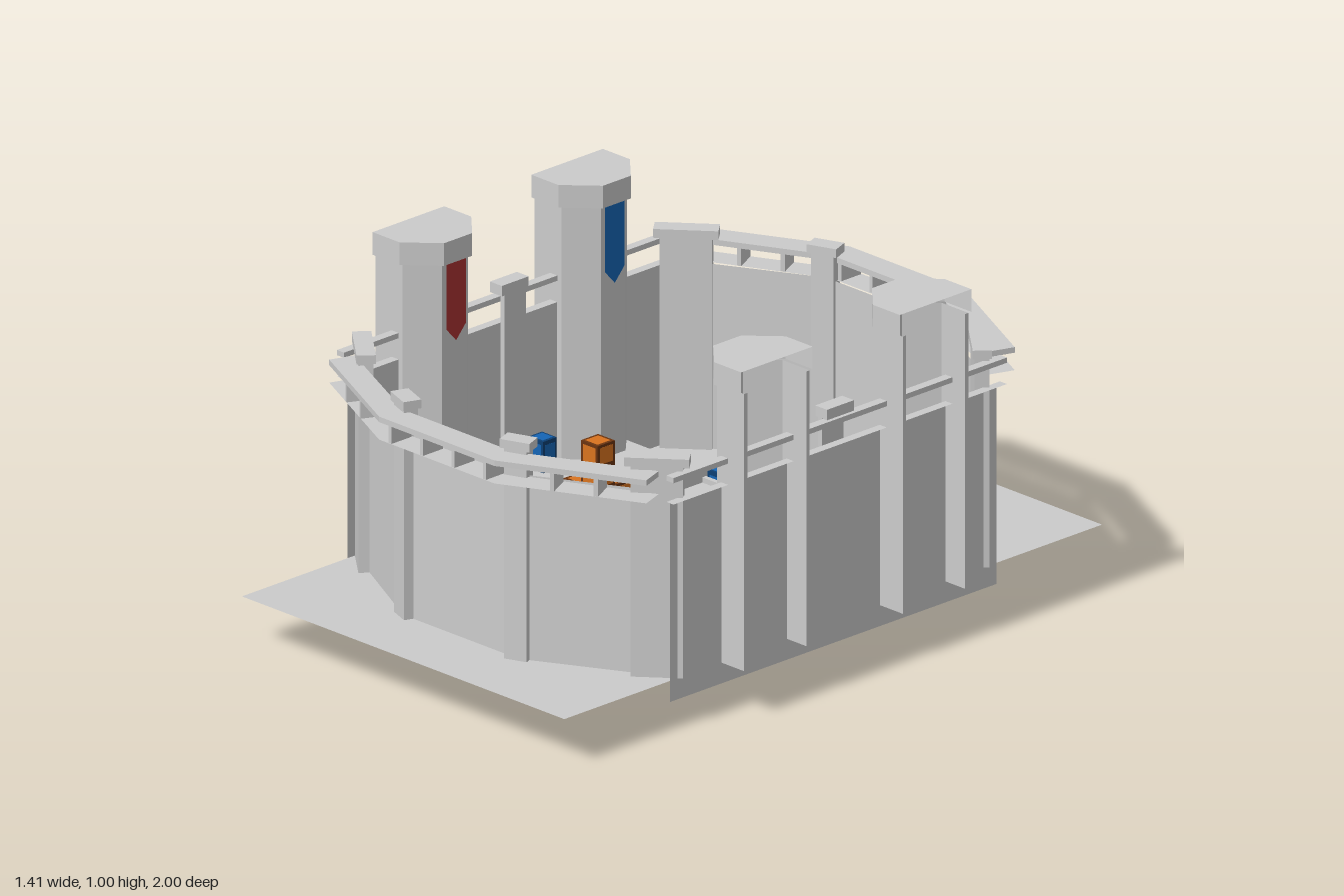
import * as THREE from 'three';

const paint = (color) => new THREE.MeshStandardMaterial({ color, flatShading: true, side: THREE.DoubleSide });
const grey = paint(0xcccccc);
const orange = paint(0xd9731f), brown = paint(0x6b3410);
const blue = paint(0x1565b5), navy = paint(0x0d3f73);
const red = paint(0xa83232), maroon = paint(0x651c1c);

const FLOOR = 0.14, DECK = 0.21;

const toShape = (points) => new THREE.Shape(points.map(([a, b]) => new THREE.Vector2(a, b)));

export function createModel() {
  const model = new THREE.Group();

  function add(parent, name, geometry, material = grey) {
    const mesh = new THREE.Mesh(geometry, material);
    mesh.name = name;
    parent.add(mesh);
    return mesh;
  }

  // Box given by its limits on each axis
  function block(parent, name, x0, x1, y0, y1, z0, z1) {
    const g = new THREE.BoxGeometry(Math.abs(x1 - x0), y1 - y0, Math.abs(z1 - z0));
    g.translate((x0 + x1) / 2, (y0 + y1) / 2, (z0 + z1) / 2);
    return add(parent, name, g);
  }

  // Flat sheet with a plan outline [x, z] at one height
  function sheet(parent, name, plan, y) {
    const g = new THREE.ShapeGeometry(toShape(plan.map(([x, z]) => [x, -z])));
    g.rotateX(-Math.PI / 2).translate(0, y, 0);
    return add(parent, name, g);
  }

  // Upright open shell along a plan line
  function shell(parent, name, plan, y0, y1) {
    const positions = [], index = [];
    plan.forEach(([x, z], i) => {
      positions.push(x, y0, z, x, y1, z);
      const a = 2 * i;
      if (i < plan.length - 1) index.push(a, a + 1, a + 2, a + 1, a + 3, a + 2);
    });
    const g = new THREE.BufferGeometry();
    g.setAttribute('position', new THREE.Float32BufferAttribute(positions, 3));
    g.setIndex(index);
    g.computeVertexNormals();
    return add(parent, name, g);
  }

  // Box with a dark frame and lighter panels on every side
  function crate(name, x, y, z, w, h, d, panel, frame) {
    const group = new THREE.Group();
    group.name = name;
    group.position.set(x, y + h / 2 + 0.002, z);
    add(group, 'crateFrame', new THREE.BoxGeometry(w, h, d), frame);
    const k = 0.74, e = 1.02;
    for (const [a, b, c] of [[e, k, k], [k, e, k], [k, k, e]])
      add(group, 'cratePanel', new THREE.BoxGeometry(w * a, h * b, d * c), panel);
    model.add(group);
  }

  // Ground
  sheet(model, 'ground', [[-0.615, 1], [0.615, 1], [0.615, -1], [-0.615, -1]], FLOOR);

  // Curved curtain walls at both ends, with a two-tier parapet
  const wallPlan = [[-0.615, 0.56], [-0.57, 0.6], [-0.22, 0.785], [0.22, 0.785], [0.57, 0.6], [0.615, 0.56]];
  const rimPlan = [
    [-0.605, 0.685], [-0.22, 0.875], [0.22, 0.875], [0.605, 0.685],
    [0.58, 0.615], [0.21, 0.795], [-0.21, 0.795], [-0.58, 0.615],
  ];
  for (const s of [1, -1]) {
    const end = new THREE.Group();
    end.name = s > 0 ? 'frontWall' : 'backWall';
    if (s < 0) end.rotation.y = Math.PI;
    model.add(end);

    shell(end, 'wallPanels', wallPlan, FLOOR, 0.67);
    sheet(end, 'lowerLedge', rimPlan, 0.668);
    const rim = new THREE.ExtrudeGeometry(toShape(rimPlan), { depth: 0.016, bevelEnabled: false });
    rim.rotateX(Math.PI / 2).translate(0, 0.734, 0);
    add(end, 'upperLedge', rim);

    // Thin plates between the ledges: x, z, turn
    const plates = [[0.06, 0.836, 0], [0.18, 0.836, 0], [0.35, 0.77, 0.46], [0.46, 0.715, 0.46]];
    for (const m of [1, -1]) {
      for (const [x, z, turn] of plates) {
        const plate = add(end, 'parapetPlate', new THREE.BoxGeometry(0.012, 0.05, 0.074));
        plate.position.set(m * x, 0.693, z);
        plate.rotation.y = m * turn;
      }
      // Pilasters: x, z, turn, width, cap width
      for (const [x, z, turn, w, cap] of [[0.56, 0.6, 0.7, 0.14, 0.175], [0.215, 0.78, 0.36, 0.066, 0.088]]) {
        const pilaster = new THREE.Group();
        pilaster.name = 'pilaster';
        pilaster.position.set(m * x, 0, z);
        pilaster.rotation.y = m * turn;
        block(pilaster, 'pilasterShaft', -w / 2, w / 2, FLOOR, 0.745, -0.02, 0.02);
        block(pilaster, 'pilasterCap', -cap / 2, cap / 2, 0.745, 0.77, -0.026, 0.026);
        end.add(pilaster);
      }
    }
  }

  // Straight sides, towers, banners and side platforms
  const towerPlan = (r, inner, k) => [
    [0.703, -r], [0.6, -r], [inner, -k], [inner, k], [0.6, r], [0.703, r],
  ];
  const capPlan = towerPlan(0.133, 0.513, 0.052);
  // The shaft's outer edges have a narrow return
  const shaftPlan = [[0.703, -0.11], ...towerPlan(0.122, 0.527, 0.046), [0.703, 0.11]];
  for (const m of [1, -1]) {
    const side = new THREE.Group();
    side.name = m > 0 ? 'leftSide' : 'rightSide';
    if (m < 0) side.rotation.y = Math.PI;
    model.add(side);

    shell(side, 'sideWall', [[0.616, -0.607], [0.616, 0.607]], 0.08, 0.657);
    sheet(side, 'sideLedge', [[0.615, 0.62], [0.642, 0.62], [0.642, -0.62], [0.615, -0.62]], 0.657);
    block(side, 'sideRail', 0.615, 0.642, 0.718, 0.733, -0.62, 0.62);
    block(side, 'sidePilaster', 0.598, 0.613, FLOOR, 0.74, -0.04, 0.04);
    block(side, 'sidePilasterCap', 0.598, 0.643, 0.74, 0.77, -0.05, 0.05);

    for (const s of [1, -1]) {
      // Tower shells stay open on the outer side
      const tower = new THREE.Group();
      tower.name = 'tower';
      tower.position.z = s * 0.295;
      side.add(tower);
      shell(tower, 'towerShaft', shaftPlan, FLOOR, 0.935);
      shell(tower, 'towerCap', capPlan, 0.935, 1.0);
      sheet(tower, 'towerRoof', capPlan, 1.0);

      // Pointed banner on the inner face; red at the front, blue at the back
      const flag = toShape([[-0.036, 0.935], [-0.036, 0.745], [0, 0.705], [0.036, 0.745], [0.036, 0.935]]);
      const banner = add(tower, 'banner', new THREE.ShapeGeometry(flag), m * s > 0 ? red : blue);
      banner.rotation.y = -Math.PI / 2;
      banner.position.x = 0.521;
    }

    // Raised platform with steps at both ends
    block(side, 'sidePlatform', 0.24, 0.612, FLOOR, DECK, -0.395, 0.395);
    block(side, 'sideStep', 0.24, 0.612, FLOOR, 0.187, -0.418, 0.418);
    block(side, 'sideStep', 0.24, 0.612, FLOOR, 0.163, -0.442, 0.442);

    // Long kerb wall with slanted ends, reaching below the ground
    const kerb = toShape([[-0.615, 0], [0.615, 0], [0.487, 0.145], [0.487, 0.24], [-0.487, 0.24], [-0.487, 0.145]]);
    const kerbGeo = new THREE.ExtrudeGeometry(kerb, { depth: 0.026, bevelEnabled: false });
    kerbGeo.rotateY(-Math.PI / 2).translate(0.245, 0, 0);
    add(side, 'kerbWall', kerbGeo);

    // Middle divider and the retaining walls beside the stairs
    block(side, 'divider', 0.075, 0.225, 0.017, 0.25, -0.007, 0.007);
    for (const s of [1, -1]) {
      block(side, 'stairCheek', 0.128, 0.142, 0.017, 0.225, s * 0.24, s * 0.34);
      block(side, 'retainingWall', 0.128, 0.225, 0.017, 0.225, s * 0.326, s * 0.34);
      block(side, 'platformWing', 0.14, 0.22, FLOOR, DECK, s * 0.24, s * 0.33);
    }
  }

  // Central platform and its stairs
  block(model, 'centralPlatform', -0.22, 0.22, FLOOR, DECK, -0.245, 0.245);
  for (const s of [1, -1])
    for (let i = 0; i < 3; i++)
      block(model, 'centralStep', -0.13, 0.13, 0.137 - i * 0.023, 0.2 - i * 0.023,
        s * (0.245 + i * 0.025), s * (0.27 + i * 0.025));

  // Orange crates
  const c = 0.064;
  const box = (x, y, z) => crate('crate', x, y, z, c, c, c, orange, brown);
  for (const s of [1, -1]) {
    for (const x of [-0.033, 0.033]) {
      box(x, DECK, s * 0.13);
      box(x, FLOOR + c, s * 0.576);
    }
    for (const x of [-0.066, 0, 0.066]) {
      box(x, FLOOR, s * 0.576);
      box(s * 0.283, DECK, x);
    }
    box(s * 0.349, DECK, 0);
    box(s * 0.283, DECK + c, 0);
    box(s * 0.283, DECK + 2 * c, 0);
  }

  // Supply boxes: blue at the back, red at the front
  for (const m of [1, -1]) {
    crate('blueBox', m * 0.586, DECK, -0.09, 0.056, 0.09, 0.05, blue, navy);
    crate('redBox', m * 0.586, DECK, 0.08, 0.056, 0.09, 0.05, red, maroon);
    crate('blueBox', m * 0.188, FLOOR, -0.372, 0.062, 0.1, 0.052, blue, navy);
    crate('redBox', m * 0.188, FLOOR, 0.365, 0.062, 0.1, 0.046, red, maroon);
  }

  return model;
}
